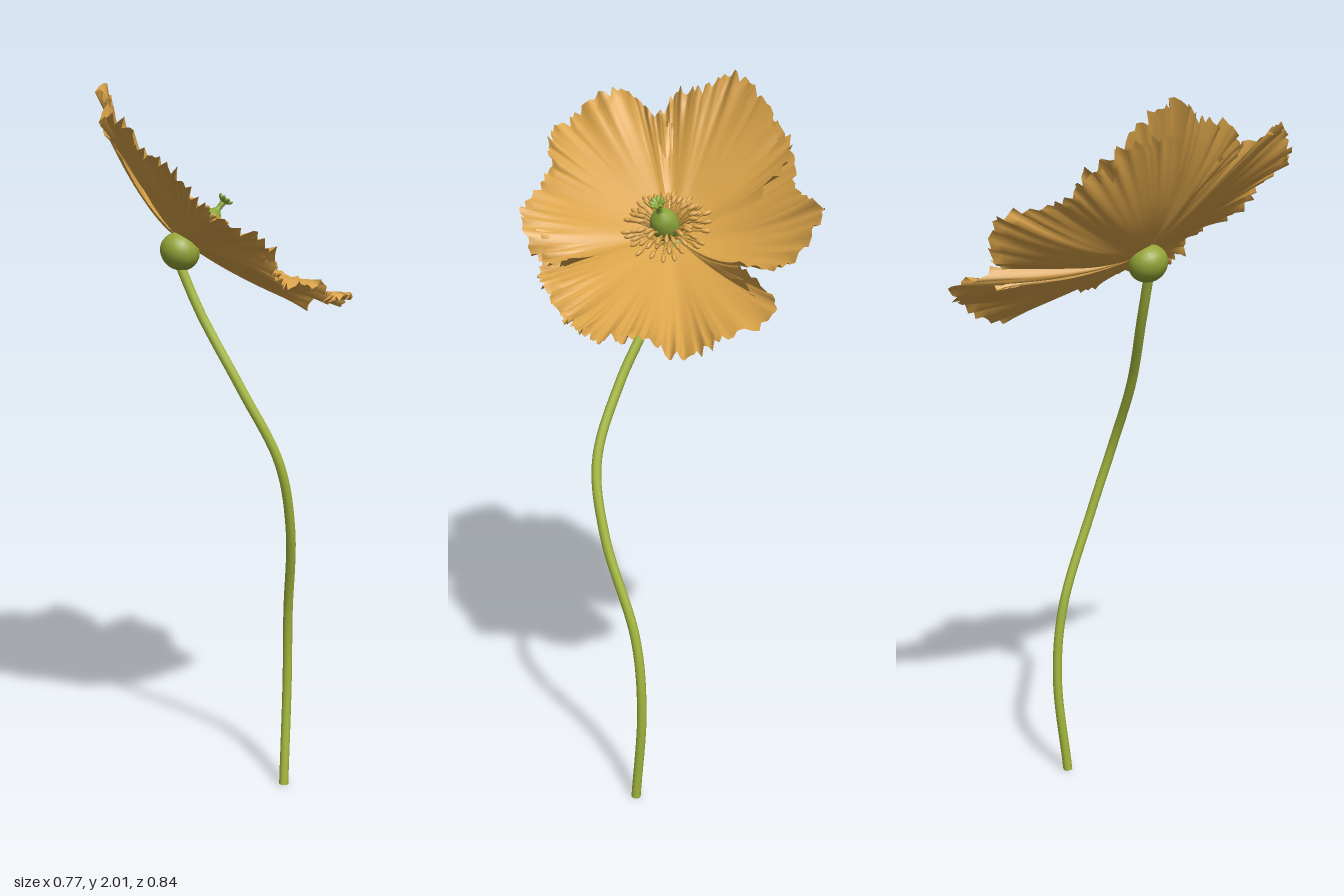
import * as THREE from 'three';
import { mergeGeometries } from 'three/addons/utils/BufferGeometryUtils.js';

const V = (x, y, z) => new THREE.Vector3(x, y, z);
const BASE = V(-0.065, 1.6, 0);
const TILT = Math.atan2(0.6, 0.8);

let seed = 7;
const rand = () => {
  seed = (seed * 16807) % 2147483647;
  return seed / 2147483647;
};

// Rim of the bloom: x, y, z of successive points, going round once
const RIM = [
  [0.35, 1.42, 0.10], [0.33, 1.41, 0.0], [0.37, 1.385, -0.1], [0.38, 1.43, -0.2],
  [0.33, 1.52, -0.325], [0.175, 1.57, -0.215], [0.195, 1.60, -0.335], [0.11, 1.70, -0.42],
  [0.01, 1.76, -0.34], [-0.1, 1.82, -0.32], [-0.2, 1.92, -0.23], [-0.265, 1.985, -0.14],
  [-0.28, 1.94, -0.05], [-0.33, 1.91, 0.03], [-0.31, 1.87, 0.09], [-0.38, 1.92, 0.18],
  [-0.35, 1.87, 0.31], [-0.30, 1.80, 0.38], [-0.22, 1.72, 0.37], [-0.12, 1.65, 0.415],
  [-0.03, 1.59, 0.40], [0.03, 1.52, 0.34], [0.1, 1.50, 0.335], [0.2, 1.47, 0.275],
  [0.28, 1.44, 0.22], [0.345, 1.42, 0.165],
].map(p => V(...p).sub(BASE).applyAxisAngle(V(0, 0, 1), TILT));

// One ruffled petal over part of the rim; hidden ends are drawn in under the neighbours
function petalGeometry({ from, to, lift, tuckStart, tuckEnd }) {
  const points = [];
  for (let i = from; i <= to; i++) {
    const tuck = i === from ? tuckStart : i === to ? tuckEnd : 1;
    const p = RIM[(i + RIM.length) % RIM.length];
    points.push(V(p.x * tuck, p.y * tuck ** 1.7, p.z * tuck));
  }
  const curve = new THREE.CatmullRomCurve3(points);
  const cols = (to - from) * 11, rows = 14;
  const pos = [], index = [];
  const phase = rand() * 6;
  for (let i = 0; i <= cols; i++) {
    const s = i / cols, rim = curve.getPoint(s);
    const crease = (rand() - 0.5) * 0.036;
    const fray = 1.01 - 0.055 * rand() * rand() - 0.012 * Math.abs(Math.sin(i * 0.45));
    for (let j = 0; j <= rows; j++) {
      const t = 0.05 + 0.95 * j / rows, r = t * (1 + (fray - 1) * t ** 3);
      const fold = Math.sin(i * 0.27 + phase) * 0.012 * t ** 3;
      const cup = -0.014 * (1 - t);
      const y = rim.y * t ** 1.7 + cup + fold + crease * t ** 6 + lift * Math.min(1, t * 2);
      pos.push(rim.x * r, y, rim.z * r);
      if (i < cols && j < rows) {
        const a = i * (rows + 1) + j, b = a + rows + 1;
        index.push(a, a + 1, b, b, a + 1, b + 1);
      }
    }
  }
  const geo = new THREE.BufferGeometry();
  geo.setAttribute('position', new THREE.Float32BufferAttribute(pos, 3));
  geo.setIndex(index);
  geo.computeVertexNormals();
  return geo;
}

// Thin curved filament with a club-shaped tip
function stamenGeometry(angle, reach, height) {
  const at = (r, y) => V(Math.cos(angle) * r + 0.018, y, Math.sin(angle) * r + 0.005);
  const tip = at(reach, height);
  const curve = new THREE.QuadraticBezierCurve3(at(0.018, 0.005), at(reach * 0.55, height * 0.95), tip);
  const filament = new THREE.TubeGeometry(curve, 6, 0.0036, 5);
  const anther = new THREE.SphereGeometry(1, 8, 6);
  anther.scale(0.0065, 0.015, 0.0065);
  const turn = new THREE.Quaternion().setFromUnitVectors(V(0, 1, 0), curve.getTangent(1));
  anther.applyQuaternion(turn).translate(tip.x, tip.y, tip.z);
  return mergeGeometries([filament, anther]);
}

export function createModel() {
  const material = (name, color, side = THREE.FrontSide) => {
    const m = new THREE.MeshStandardMaterial({ color, side });
    m.name = name;
    return m;
  };
  const gold = material('petal gold', 0xdaa349, THREE.DoubleSide);
  const stemGreen = material('stem green', 0xa6b93e);
  const podGreen = material('pod green', 0x8ca53a, THREE.DoubleSide);
  const budGreen = material('receptacle green', 0x95a538);

  const model = new THREE.Group();
  model.name = 'poppyFlower';
  const add = (parent, name, geometry, mat) => {
    const mesh = new THREE.Mesh(geometry, mat);
    mesh.name = name;
    parent.add(mesh);
    return mesh;
  };

  // Swaying stem
  const path = new THREE.CatmullRomCurve3([
    V(0.215, 0.0, 0.058), V(0.235, 0.3, 0.036), V(0.225, 0.52, 0.055), V(0.18, 0.8, 0.145),
    V(0.125, 1.0, 0.175), V(0.035, 1.2, 0.125), V(-0.045, 1.4, 0.04), V(-0.095, 1.55, -0.005),
  ]);
  add(model, 'stem', new THREE.TubeGeometry(path, 60, 0.0135, 10), stemGreen);
  const foot = add(model, 'stemEnd', new THREE.CircleGeometry(0.0135, 10), stemGreen);
  foot.rotation.x = Math.PI / 2;
  foot.position.set(0.215, 0.001, 0.058);

  // Tilted bloom; its own y axis points out of the flower
  const bloom = new THREE.Group();
  bloom.name = 'bloom';
  bloom.position.copy(BASE);
  bloom.rotation.z = -TILT;
  model.add(bloom);

  const receptacle = add(bloom, 'receptacle', new THREE.SphereGeometry(0.055, 24, 16), budGreen);
  receptacle.scale.y = 0.9;
  receptacle.position.set(0.004, -0.042, 0);

  // Four overlapping petals
  [
    { name: 'rightPetal', from: -6, to: 5, lift: 0, tuckStart: 0.9, tuckEnd: 1 },
    { name: 'backPetal', from: 4, to: 11, lift: -0.006, tuckStart: 0.82, tuckEnd: 0.85 },
    { name: 'upperPetal', from: 8, to: 14, lift: 0.014, tuckStart: 0.72, tuckEnd: 0.95 },
    { name: 'frontPetal', from: 13, to: 22, lift: 0.006, tuckStart: 0.8, tuckEnd: 0.75 },
  ].forEach(p => add(bloom, p.name, petalGeometry(p), gold));

  // Stamens in three loose rings
  const stamens = [];
  for (let i = 0; i < 66; i++) {
    const ring = i % 3;
    const angle = i / 66 * Math.PI * 2 + (rand() - 0.5) * 0.12;
    stamens.push(stamenGeometry(angle, 0.105 - ring * 0.018 + (rand() - 0.5) * 0.016,
      0.033 + ring * 0.016 + rand() * 0.02));
  }
  add(bloom, 'stamens', mergeGeometries(stamens), gold);

  // Seed pod with a narrow neck and a lobed crown
  const pistil = new THREE.Group();
  pistil.name = 'seedPod';
  pistil.position.set(0.02, 0, 0.004);
  pistil.rotation.set(0.12, 0, -0.02);
  bloom.add(pistil);
  const profile = [[0.012, 0], [0.028, 0.015], [0.038, 0.04], [0.039, 0.06], [0.031, 0.085],
    [0.016, 0.102], [0.008, 0.112], [0.008, 0.135], [0, 0.138]].map(p => new THREE.Vector2(...p));
  add(pistil, 'pod', new THREE.LatheGeometry(new THREE.SplineCurve(profile).getPoints(24), 20), podGreen);
  for (let i = 0; i < 8; i++) {
    const lobe = new THREE.SphereGeometry(1, 8, 6);
    lobe.scale(0.015, 0.005, 0.007).translate(0.013, 0, 0).rotateZ(0.6);
    lobe.rotateY(i / 8 * Math.PI * 2).translate(0, 0.132, 0);
    add(pistil, 'crownLobe', lobe, podGreen);
  }
  return model;
}
